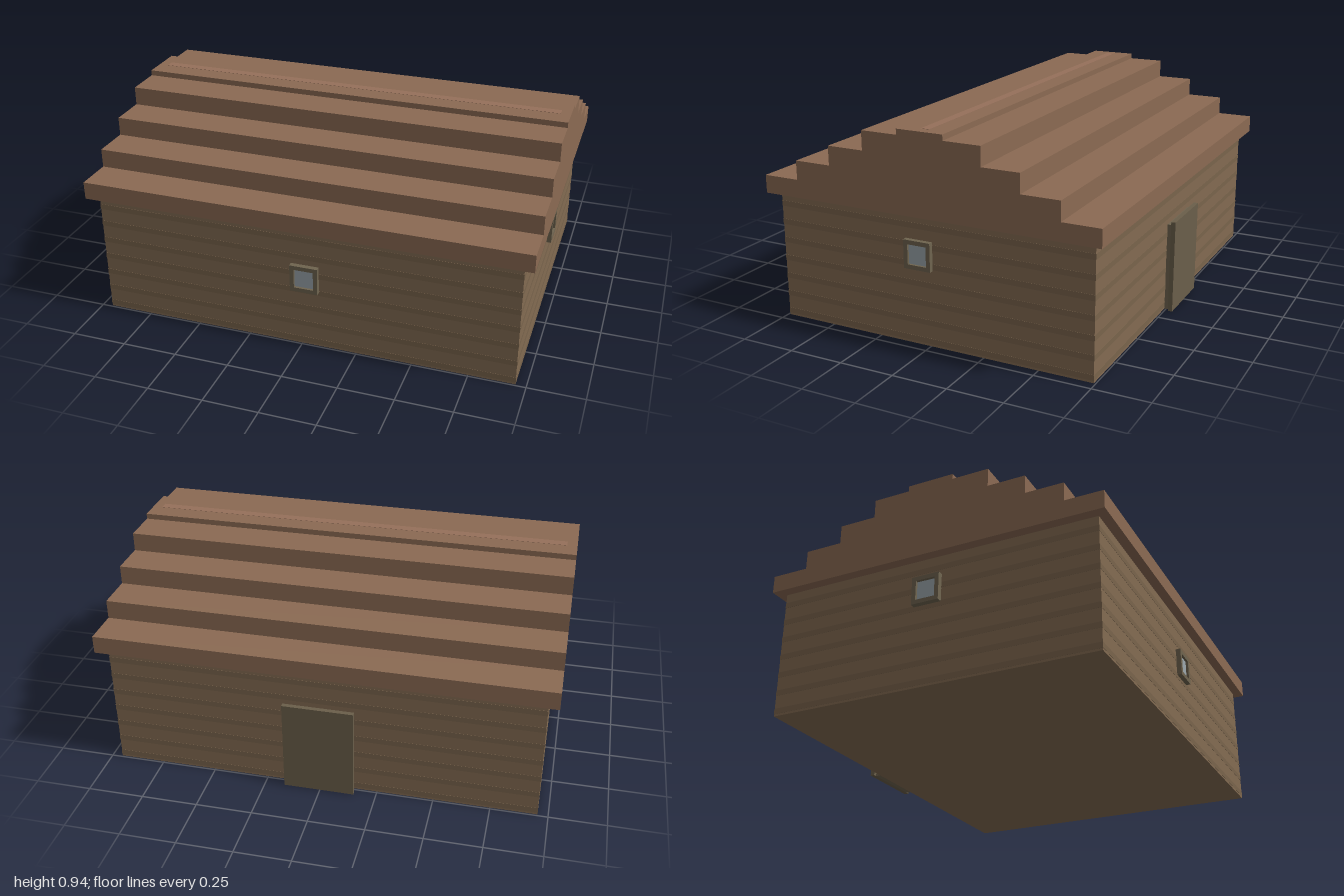
import * as THREE from 'three';

const paint = (color) => new THREE.MeshStandardMaterial({ color });
const roofMat = paint(0x8b6a53);
const ridgeMat = paint(0x96705a);
const wallMat = paint(0x836b52);
const seamMat = paint(0x7a644c);
const frameMat = paint(0x6f644f);
const glassMat = paint(0x9ba6ac);
const doorMat = paint(0x6b5f4a);

function box(name, mat, [x0, x1], [y0, y1], [z0, z1]) {
  const mesh = new THREE.Mesh(new THREE.BoxGeometry(x1 - x0, y1 - y0, z1 - z0), mat);
  mesh.position.set((x0 + x1) / 2, (y0 + y1) / 2, (z0 + z1) / 2);
  mesh.name = name;
  return mesh;
}

// Square frame with a recessed pane, facing +z from its own origin
function makeWindow(name, depth) {
  const h = 0.063, g = 0.044;
  const square = (Type, s) => {
    const p = new Type();
    p.moveTo(-s, -s).lineTo(s, -s).lineTo(s, s).lineTo(-s, s).closePath();
    return p;
  };
  const outline = square(THREE.Shape, h);
  outline.holes.push(square(THREE.Path, g));
  const frame = new THREE.Mesh(
    new THREE.ExtrudeGeometry(outline, { depth, bevelEnabled: false }), frameMat);
  frame.name = 'windowFrame';
  const group = new THREE.Group();
  group.name = name;
  group.add(frame, box('windowPane', glassMat, [-g, g], [-g, g], [0, depth * 0.5]));
  return group;
}

// Stepped roof: one profile run along x
function makeRoof() {
  const steps = [[0.785, 0.66], [0.616, 0.745], [0.445, 0.83], [0.275, 0.915], [0.107, 0.94]];
  const side = [];
  let y = 0.58;
  for (const [z, top] of steps) {
    side.push(new THREE.Vector2(z, y), new THREE.Vector2(z, top));
    y = top;
  }
  const other = side.map((p) => new THREE.Vector2(-p.x, p.y)).reverse();
  const geo = new THREE.ExtrudeGeometry(new THREE.Shape([...side, ...other]),
    { depth: 2, bevelEnabled: false });
  geo.translate(0, 0, -1).rotateY(Math.PI / 2);
  const roof = new THREE.Mesh(geo, roofMat);
  roof.name = 'steppedRoof';
  return roof;
}

export function createModel() {
  const house = new THREE.Group();
  house.name = 'house';
  const X = 0.954, Z = 0.742;

  house.add(box('walls', wallMat, [-X, X], [0, 0.585], [-Z, Z]));

  // Darker seams between the wall boards
  const seams = new THREE.Group();
  seams.name = 'wallSeams';
  const e = 0.001;
  for (let i = 0; i < 7; i++) {
    const y = 0.01 + i * 0.084;
    seams.add(box('wallSeam', seamMat, [-X - e, X + e], [y, y + 0.025], [-Z - e, Z + e]));
  }
  house.add(seams);

  // Roof with a pale strip along the ridge
  house.add(makeRoof());
  house.add(box('ridgeStrip', ridgeMat, [-0.955, 0.955], [0.935, 0.941], [-0.02, 0.02]));

  // Windows: front, left (+x) and right (-x)
  const places = [
    ['frontWindow', 0.022, [0.018, 0.342, Z], 0],
    ['leftWindow', 0.021, [X, 0.404, 0.046], Math.PI / 2],
    ['rightWindow', 0.025, [-X, 0.429, -0.017], -Math.PI / 2],
  ];
  for (const [name, depth, pos, turn] of places) {
    const win = makeWindow(name, depth);
    win.position.set(...pos);
    win.rotation.y = turn;
    house.add(win);
  }

  // Back door: a narrower surround behind a larger leaf
  const door = new THREE.Group();
  door.name = 'backDoor';
  door.add(
    box('doorSurround', frameMat, [-0.135, 0.145], [0, 0.405], [-0.766, -Z]),
    box('doorLeaf', doorMat, [-0.152, 0.163], [0, 0.425], [-0.785, -0.765]));
  house.add(door);

  return house;
}
